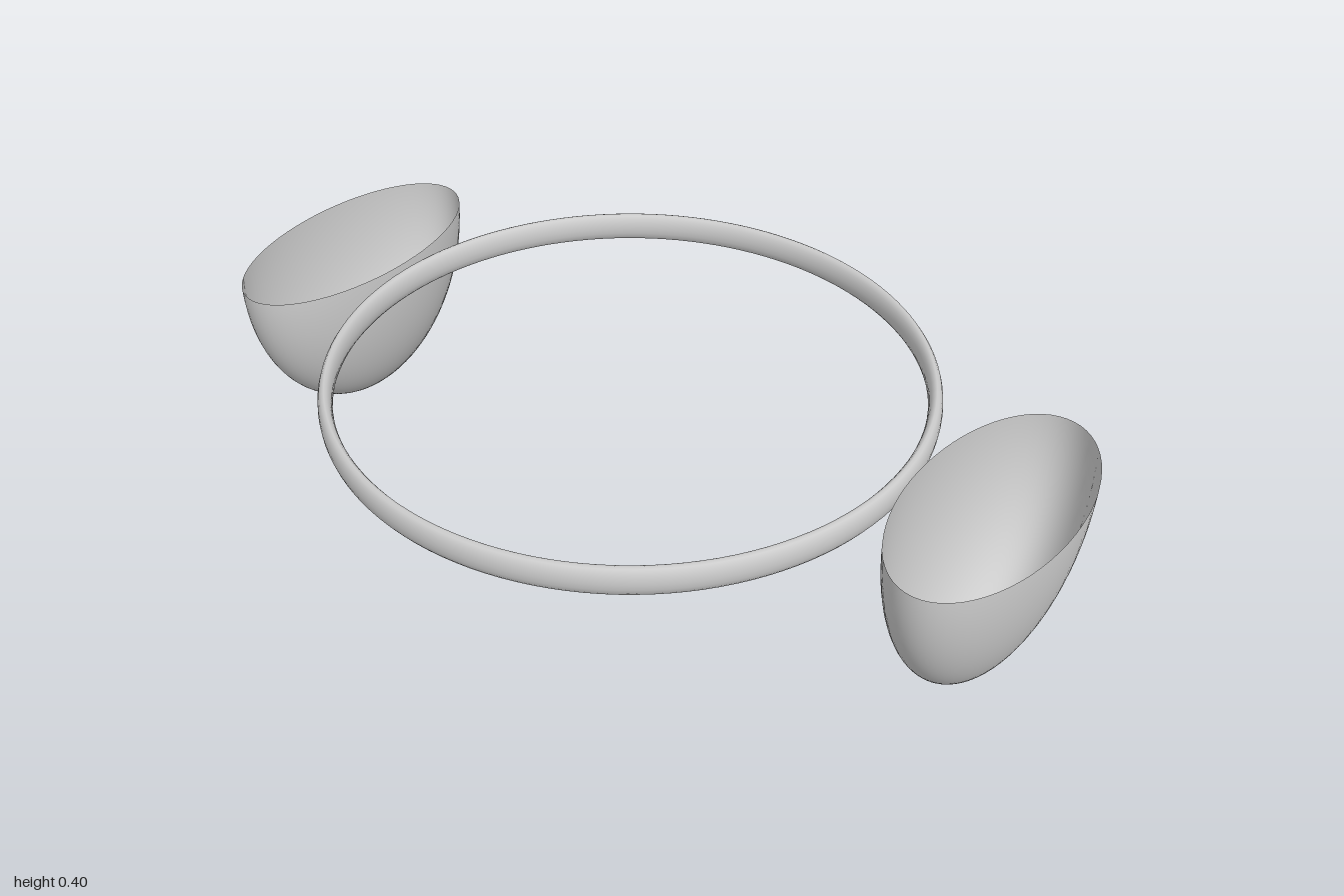
import * as THREE from 'three';

export function createModel() {
  const group = new THREE.Group();
  const solid = new THREE.MeshStandardMaterial({ color: 0xcccccc });
  const thin = new THREE.MeshStandardMaterial({ color: 0xcccccc, side: THREE.DoubleSide });

  // Horizontal ring with a tall oval cross-section
  const ringGeometry = new THREE.TorusGeometry(0.648, 0.0155, 16, 128);
  ringGeometry.rotateX(Math.PI / 2);
  ringGeometry.scale(1, 0.0335 / 0.0155, 1);
  const ring = new THREE.Mesh(ringGeometry, solid);
  ring.name = 'ring';
  ring.position.y = 0.3665;
  group.add(ring);

  // Open half-ellipsoid bowls, front and back
  const bowlGeometry = new THREE.SphereGeometry(1, 64, 32, 0, Math.PI * 2, Math.PI / 2, Math.PI / 2);
  bowlGeometry.scale(0.33, 0.4, 0.164);
  for (const [name, side] of [['frontBowl', 1], ['backBowl', -1]]) {
    const bowl = new THREE.Mesh(bowlGeometry, thin);
    bowl.name = name;
    bowl.position.set(0.035, 0.4, side * 0.836);
    group.add(bowl);
  }

  return group;
}
